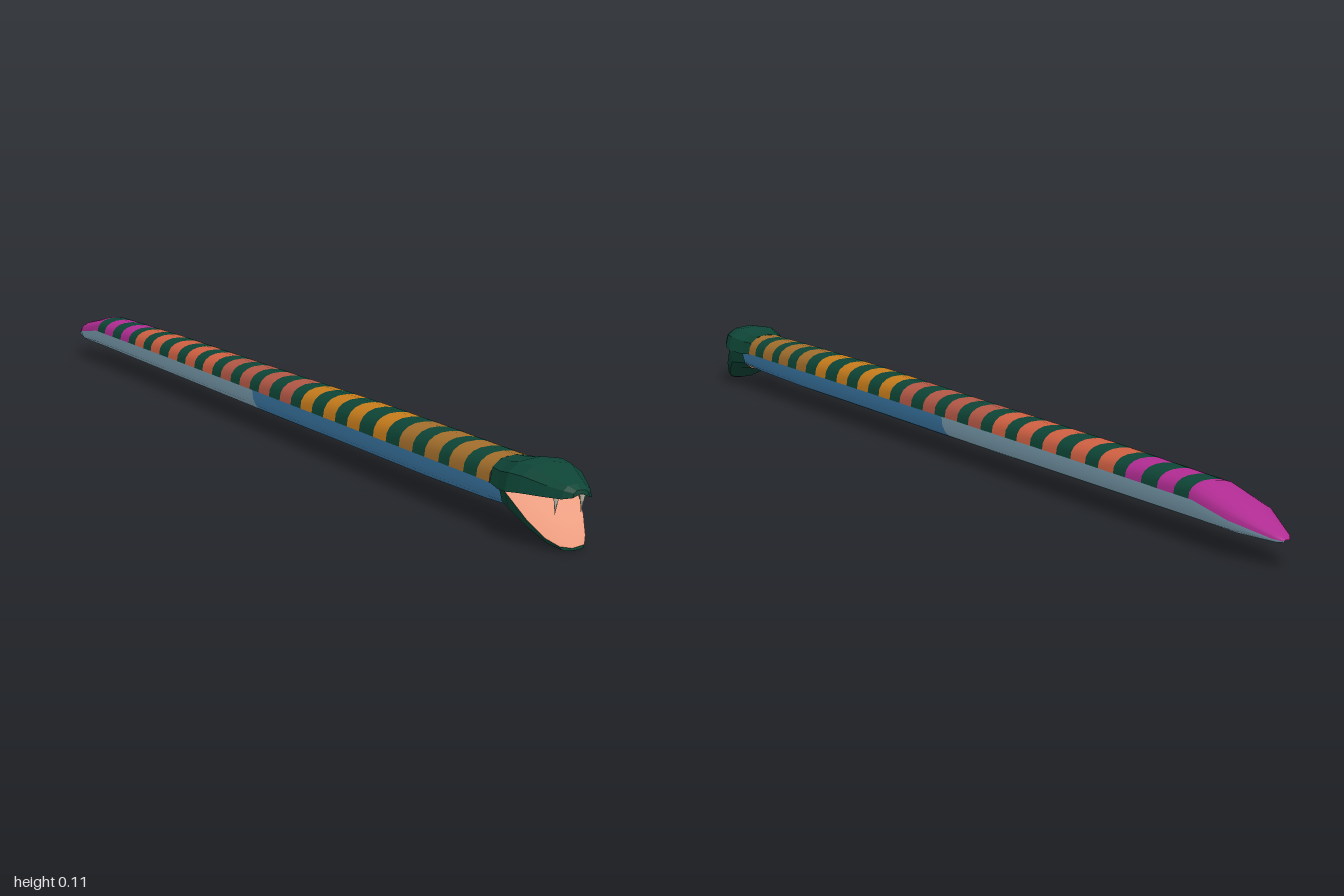
import * as THREE from 'three';

const mat = (name, color, side = THREE.FrontSide) => {
  const m = new THREE.MeshStandardMaterial({ color, side });
  m.name = name;
  return m;
};

// Body profile from tail to neck: z, half width, side line y, top y, bottom y
const BODY = [
  [-1.0, 0.004, 0.035, 0.037, 0.033],
  [-0.985, 0.014, 0.037, 0.044, 0.031],
  [-0.91, 0.036, 0.05, 0.068, 0.029],
  [-0.82, 0.037, 0.062, 0.086, 0.028],
  [-0.5, 0.038, 0.064, 0.092, 0.027],
  [0.0, 0.039, 0.065, 0.096, 0.026],
  [0.35, 0.041, 0.066, 0.1, 0.027],
  [0.6, 0.042, 0.066, 0.1, 0.027],
  [0.78, 0.042, 0.066, 0.099, 0.03],
  [0.88, 0.038, 0.063, 0.1, 0.034],
];

function bodyAt(z) {
  let i = 0;
  while (i < BODY.length - 2 && z > BODY[i + 1][0]) i++;
  const a = BODY[i], b = BODY[i + 1];
  const t = (z - a[0]) / (b[0] - a[0]);
  return a.map((v, k) => v + (b[k] - v) * t);
}

// Half ring: over the top runs from +x to -x, underneath from -x to +x
function halfRing(z, w, mid, end, segments, power = 0.85) {
  const s = end > mid ? 1 : -1;
  return Array.from({ length: segments + 1 }, (_, j) => {
    const a = (Math.PI * j) / segments;
    const c = Math.cos(a);
    const x = s * Math.sign(c) * Math.abs(c) ** power * w;
    return [x, mid + (end - mid) * Math.max(0, Math.sin(a)) ** power, z];
  });
}

// Skin over rows of points ordered by growing z
function loft(rows, flat = false) {
  const n = rows[0].length, index = [];
  for (let i = 0; i < rows.length - 1; i++) {
    for (let j = 0; j < n - 1; j++) {
      const a = i * n + j, c = a + n;
      index.push(a, a + 1, c, a + 1, c + 1, c);
    }
  }
  let g = new THREE.BufferGeometry();
  g.setAttribute('position', new THREE.Float32BufferAttribute(rows.flat(2), 3));
  g.setIndex(index);
  if (flat) g = g.toNonIndexed();
  g.computeVertexNormals();
  return g;
}

export function createModel() {
  const green = mat('dark green', 0x0e4536, THREE.DoubleSide);
  const ochre = mat('ochre', 0xa26e2c);
  const orange = mat('orange', 0xc67c1c);
  const coral = mat('coral', 0xcf6042);
  const brick = mat('brick red', 0xb35846);
  const magenta = mat('magenta', 0xb02c92);
  const blue = mat('blue', 0x4286b8);
  const paleBlue = mat('pale blue', 0x8ab2c6);
  const salmon = mat('salmon', 0xe8997b, THREE.DoubleSide);
  const bone = mat('bone', 0xd8cdb8);

  const model = new THREE.Group();
  model.name = 'snake';
  const add = (name, geometry, material, parent = model) => {
    const mesh = new THREE.Mesh(geometry, material);
    mesh.name = name;
    parent.add(mesh);
    return mesh;
  };

  // Strip of the back (column 3) or belly (column 4) between two z values
  const strip = (z0, z1, column) => {
    const inner = BODY.map((b) => b[0]).filter((z) => z > z0 + 1e-4 && z < z1 - 1e-4);
    const rows = [z0, ...inner, z1].map((z) => {
      const b = bodyAt(z);
      return halfRing(z, b[1], b[2], b[column], 10);
    });
    return loft(rows);
  };

  // Banded back: coloured rings with dark green gaps
  const back = new THREE.Group();
  back.name = 'back';
  model.add(back);
  add('tail', strip(-1, -0.81, 3), magenta, back);
  const starts = [-0.77, -0.68, -0.6, -0.516, -0.426, -0.341, -0.257, -0.172, -0.087, -0.003,
    0.087, 0.172, 0.262, 0.352, 0.447, 0.537, 0.622, 0.7, 0.784];
  const bandColor = (z) =>
    z < -0.65 ? magenta : z < -0.2 ? coral : z < 0.15 ? brick : z < 0.5 ? orange : ochre;
  let last = -0.81;
  for (const z of starts) {
    const end = Math.min(z + 0.045, 0.82);
    add('darkBand', strip(last, z, 3), green, back);
    add('colourBand', strip(z, end, 3), bandColor(z), back);
    last = end;
  }

  // Belly in two blues
  add('rearBelly', strip(-1, -0.03, 4), paleBlue);
  add('frontBelly', strip(-0.03, 0.87, 4), blue);

  // Head: z, half width, lip y, outer y
  const head = new THREE.Group();
  head.name = 'head';
  model.add(head);
  const upper = [
    [0.82, 0.04, 0.065, 0.1],
    [0.85, 0.044, 0.062, 0.102],
    [0.89, 0.054, 0.066, 0.109],
    [0.92, 0.049, 0.069, 0.107],
    [0.96, 0.034, 0.07, 0.096],
    [0.988, 0.022, 0.071, 0.09],
    [1.0, 0.012, 0.074, 0.084],
  ];
  const lower = [
    [0.85, 0.041, 0.063, 0.031],
    [0.89, 0.053, 0.066, 0.026],
    [0.93, 0.042, 0.036, 0.013],
    [0.96, 0.029, 0.015, 0.003],
    [0.978, 0.018, 0.007, 0.0],
  ];
  const ring = ([z, w, lip, end]) => halfRing(z, w, lip, end, 6, 0.8);
  add('upperHead', loft(upper.map(ring), true), green, head);
  add('lowerJaw', loft(lower.map(ring), true), green, head);

  // Blunt snout and chin ends
  const cap = ([z, w, lip, end]) => {
    const rim = ring([z, w, lip, end]);
    return loft([rim, rim.map(() => [0, (lip + end) / 2, z + 0.0005])], true);
  };
  add('snoutTip', cap(upper[upper.length - 1]), green, head);
  add('chinTip', cap(lower[lower.length - 1]), green, head);

  // Mouth lining: arched palate and hollow floor meeting at the throat
  const palate = upper.slice(2).map(([z, w, lip]) =>
    [-1, -0.5, 0, 0.5, 1].map((u) => [u * w, lip + 0.005 * (1 - u * u) * (z > 0.9 ? 1 : 0), z]));
  const floor = lower.slice(1).map(([z, w, lip]) =>
    [1, 0.5, 0, -0.5, -1].map((u) => [u * w, lip - 0.004 * (1 - u * u) * (z > 0.9 ? 1 : 0), z]));
  add('palate', loft(palate), salmon, head);
  add('mouthFloor', loft(floor), salmon, head);

  // Pair of fangs
  for (const side of [-1, 1]) {
    const fang = add('fang', new THREE.ConeGeometry(0.004, 0.027, 6), bone, head);
    fang.position.set(side * 0.019, 0.059, 0.967);
    fang.rotation.x = Math.PI + 0.15;
  }

  return model;
}
